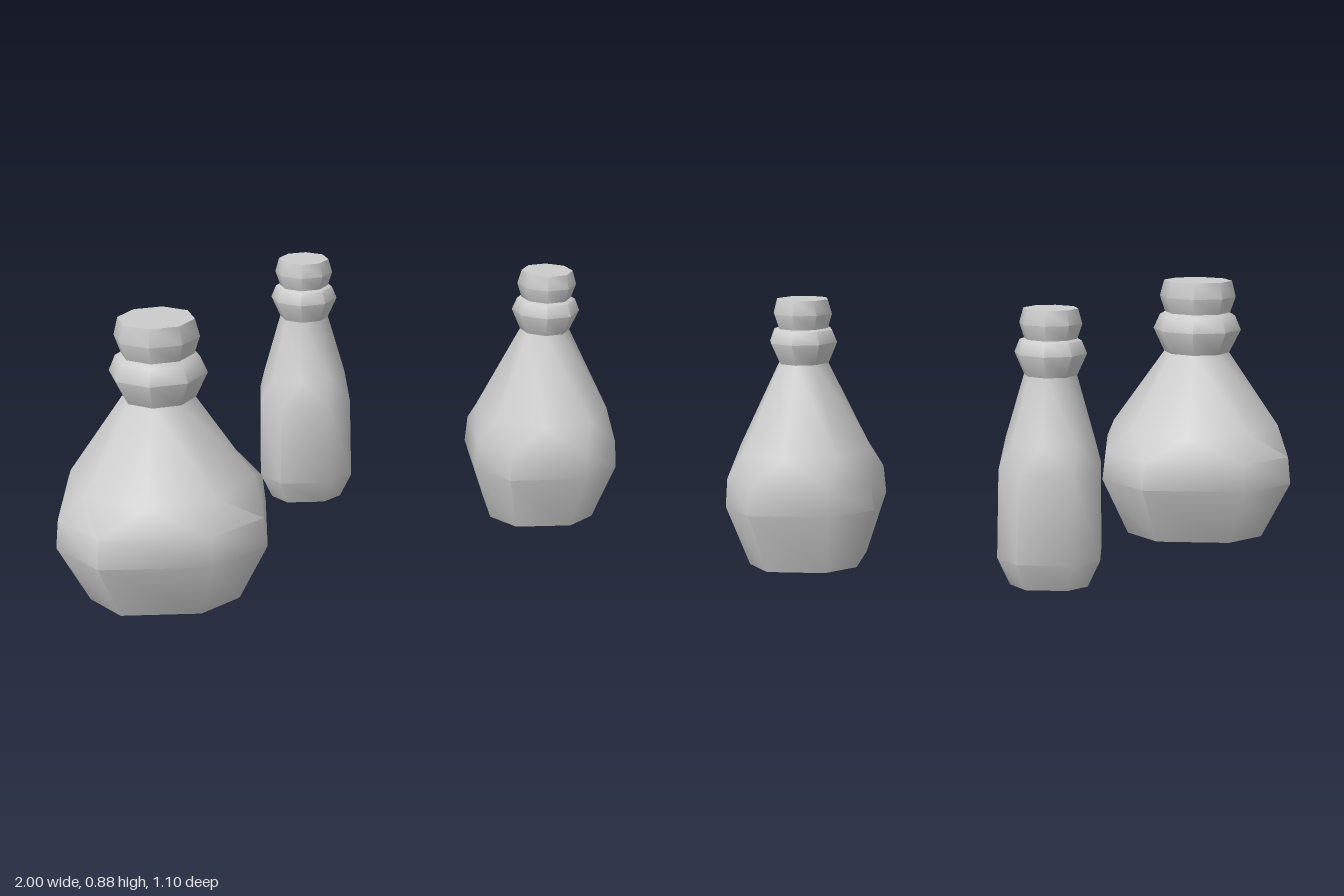
import * as THREE from 'three';
import { toCreasedNormals } from 'three/addons/utils/BufferGeometryUtils.js';

const SIDES = 8;
const material = new THREE.MeshStandardMaterial({ color: 0xcccccc });

// Skewed octagon of the belly: alternating corner angles and radii
const skewed = (r, y) => Array.from({ length: SIDES }, (_, k) => {
  const odd = k % 2;
  const a = THREE.MathUtils.degToRad(odd ? 45 * k : 45 * k - 11);
  const radius = odd ? r * 1.03 : r;
  return [radius * Math.cos(a), y, radius * Math.sin(a)];
});

// Regular octagon given by its half width across flats
const regular = (half, y) => Array.from({ length: SIDES }, (_, k) => {
  const a = (k - 0.5) * Math.PI / 4;
  const radius = half / Math.cos(Math.PI / 8);
  return [radius * Math.cos(a), y, radius * Math.sin(a)];
});

// Skin a stack of rings, optionally closing the ends
function loft(rings, capBottom, capTop) {
  const positions = rings.flat(2);
  const index = [];
  const last = rings.length - 1;
  for (let k = 0; k < SIDES; k++) {
    const n = (k + 1) % SIDES;
    for (let i = 0; i < last; i++) {
      const a = i * SIDES + k, d = i * SIDES + n;
      const b = a + SIDES, c = d + SIDES;
      index.push(a, b, c, a, c, d);
    }
    const bottom = rings.length * SIDES;
    if (capBottom) index.push(bottom, k, n);
    if (capTop) index.push(bottom + 1, last * SIDES + n, last * SIDES + k);
  }
  positions.push(0, rings[0][0][1], 0, 0, rings[last][0][1], 0);
  const geometry = new THREE.BufferGeometry();
  geometry.setAttribute('position', new THREE.Float32BufferAttribute(positions, 3));
  geometry.setIndex(index);
  return toCreasedNormals(geometry, 0.9);
}

function part(name, geometry) {
  const mesh = new THREE.Mesh(geometry, material);
  mesh.name = name;
  return mesh;
}

function makeBottle({ name, x, z, r, base, belly, shoulder, upper, neck }) {
  const bottle = new THREE.Group();
  bottle.name = name;
  bottle.position.set(x, 0, z);

  // Body: foot, belly, shoulder, then tapering to the neck
  bottle.add(part('body', loft([
    skewed(r * base, 0),
    skewed(r, belly),
    skewed(r * 0.97, shoulder),
    regular(upper, shoulder + 0.085),
    regular(...neck[0]),
  ], true, false)));

  // Neck collar and stopper, each a flared tier
  bottle.add(part('collar', loft(neck.slice(0, 4).map(p => regular(...p)), false, false)));
  bottle.add(part('stopper', loft(neck.slice(3).map(p => regular(...p)), false, true)));
  return bottle;
}

export function createModel() {
  const group = new THREE.Group();
  group.name = 'bottles';
  // Neck profiles as [half width, height]
  const wideNeck = [[0.105, 0.63], [0.141, 0.71], [0.121, 0.76], [0.105, 0.77], [0.122, 0.825], [0.109, 0.88]];
  const slimNeck = [[0.077, 0.657], [0.105, 0.725], [0.09, 0.765], [0.077, 0.77], [0.091, 0.817], [0.079, 0.863]];
  group.add(
    makeBottle({ name: 'wideBottle', x: -0.645, z: 0.19, r: 0.36, base: 0.72,
      belly: 0.2, shoulder: 0.292, upper: 0.267, neck: wideNeck }),
    makeBottle({ name: 'slimBottle', x: 0.002, z: -0.377, r: 0.179, base: 0.76,
      belly: 0.09, shoulder: 0.37, upper: 0.131, neck: slimNeck }),
    makeBottle({ name: 'mediumBottle', x: 0.732, z: 0.03, r: 0.271, base: 0.73,
      belly: 0.2, shoulder: 0.292, upper: 0.208, neck: slimNeck }),
  );
  return group;
}
